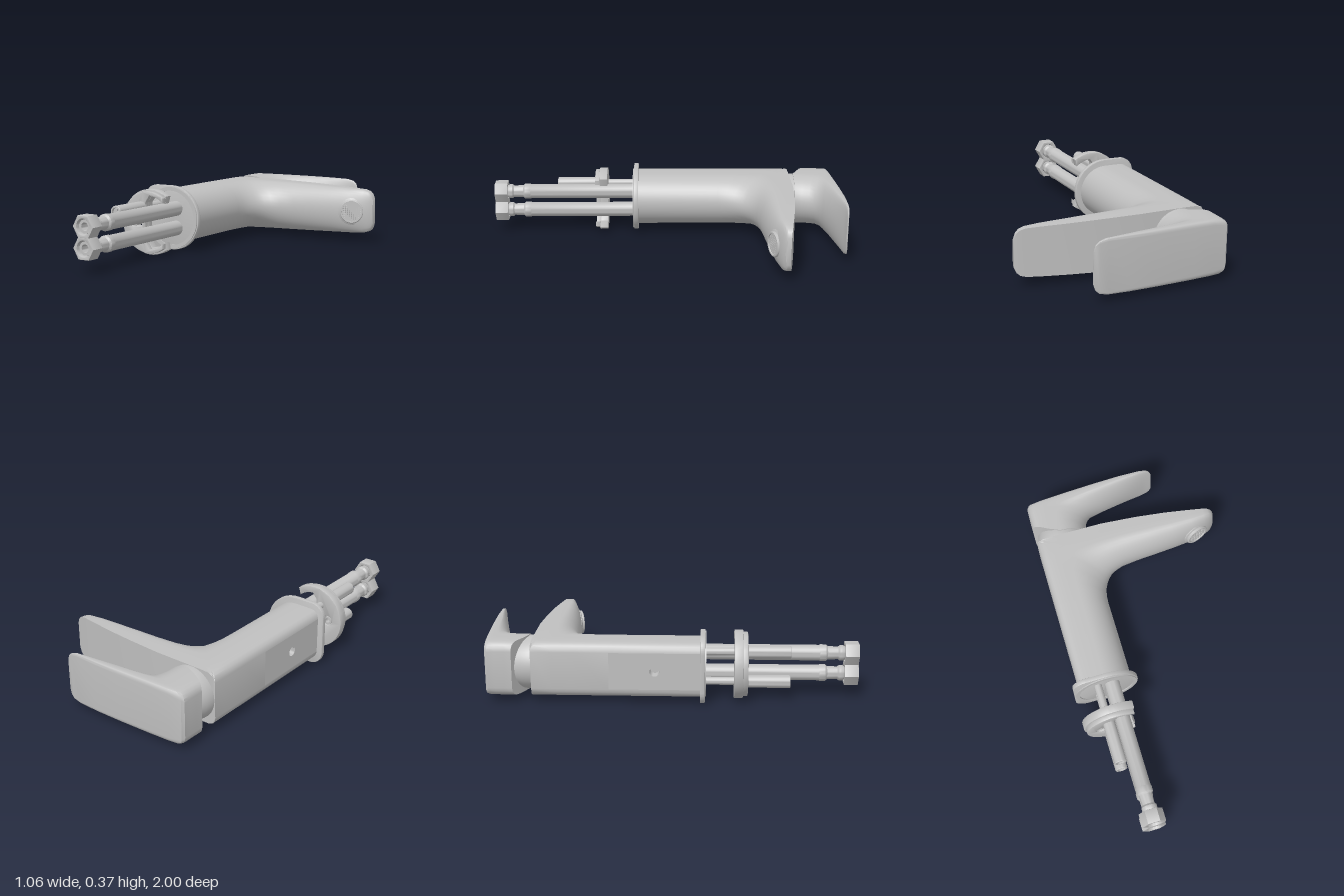
import * as THREE from 'three';
import { toCreasedNormals } from 'three/addons/utils/BufferGeometryUtils.js';

const CY = 0.186; // height of the symmetry plane
const CX = -0.35; // axis of the column

// Half-width samples from the flat outer side (u = 0) to the round inner side (u = 1)
const US = [0, 0.01, 0.04, 0.09, 0.15, 0.3, 0.5];
for (let k = 1; k <= 10; k++) US.push(0.5 + 0.5 * Math.sin((k / 10) * Math.PI / 2));
function halfWidth(u, w, c) {
  if (u < 0.15) return c + (w - c) * Math.sqrt(1 - (1 - u / 0.15) ** 2);
  if (u < 0.5) return w;
  return w * Math.sqrt(Math.max(0, 1 - ((u - 0.5) / 0.5) ** 2));
}

// Loft of D-shaped sections. Station: [outer x, outer z, inner x, inner z, half width, flat half width]
function loftD(stations, zMax = 9, openFirstBack = false) {
  const n = US.length, m = 2 * n - 1, pos = [], idx = [];
  for (const [ox, oz, ix, iz, w, c] of stations) {
    const put = (u, s) => pos.push(ox + (ix - ox) * u, CY + s * halfWidth(u, w, c), Math.min(zMax, oz + (iz - oz) * u));
    US.forEach(u => put(u, 1));
    for (let j = n - 2; j >= 0; j--) put(US[j], -1);
  }
  const quad = (a, b, c, d) => idx.push(a, b, c, a, c, d);
  const last = (stations.length - 1) * m;
  for (let i = 0; i < stations.length - 1; i++)
    for (let j = 0; j < m; j++) {
      if (openFirstBack && i === 0 && j === m - 1) continue;
      const a = i * m + j, b = i * m + (j + 1) % m;
      quad(a, b, b + m, a + m);
    }
  for (let j = 0; j < n - 1; j++) {
    const p = m - 1 - j;
    quad(j + 1, j, p, p - 1);
    quad(last + j, last + j + 1, last + p - 1, last + p);
  }
  // make the faces point outward
  const v = i => new THREE.Vector3().fromArray(pos, idx[i] * 3).sub(new THREE.Vector3(CX, CY, -0.5));
  let volume = 0;
  for (let i = 0; i < idx.length; i += 3) volume += v(i).dot(v(i + 1).cross(v(i + 2)));
  if (volume < 0) idx.reverse();
  const g = new THREE.BufferGeometry();
  g.setAttribute('position', new THREE.Float32BufferAttribute(pos, 3));
  g.setIndex(idx);
  return toCreasedNormals(g, 0.6);
}

// Turned part along +z from [radius, z] points
function turned(points, sides = 32) {
  const g = new THREE.LatheGeometry(points.map(p => new THREE.Vector2(...p)), sides);
  g.rotateX(Math.PI / 2);
  return toCreasedNormals(g, 0.6);
}

function extruded(shape, z0, z1, bevel = 0.004) {
  const g = new THREE.ExtrudeGeometry(shape, {
    depth: z1 - z0 - 2 * bevel, bevelThickness: bevel, bevelSize: bevel, bevelOffset: -bevel, bevelSegments: 2, curveSegments: 24,
  });
  g.translate(0, 0, z0 + bevel);
  return toCreasedNormals(g, 0.6);
}

export function createModel() {
  const model = new THREE.Group();
  const metal = new THREE.MeshStandardMaterial({ color: 0xc0c0c0, side: THREE.DoubleSide });
  metal.name = 'metal grey';
  const add = (name, geometry, x = 0, y = 0, z = 0, parent = model) => {
    const mesh = new THREE.Mesh(geometry, metal);
    mesh.name = name;
    mesh.position.set(x, y, z);
    parent.add(mesh);
    return mesh;
  };

  // Column flowing into the spout
  add('columnAndSpout', loftD([
    [-0.5, 0.165, -0.2, 0.165, 0.148, 0.10],
    [-0.5, -0.32, -0.2, -0.30, 0.148, 0.10],
    [-0.5, -0.50, -0.197, -0.345, 0.148, 0.10],
    [-0.5, -0.62, -0.187, -0.39, 0.148, 0.10],
    [-0.5, -0.73, -0.167, -0.43, 0.148, 0.10],
    [-0.485, -0.73, -0.15, -0.455, 0.148, 0.134],
    [-0.455, -0.73, -0.125, -0.48, 0.148, 0.147],
    [-0.40, -0.73, -0.09, -0.50, 0.148, 0.148],
    [-0.30, -0.73, -0.04, -0.518, 0.147, 0.147],
    [-0.12, -0.73, 0.05, -0.53, 0.145, 0.145],
    [0.08, -0.716, 0.15, -0.538, 0.141, 0.141],
    [0.25, -0.697, 0.28, -0.55, 0.136, 0.136],
    [0.38, -0.677, 0.39, -0.565, 0.132, 0.132],
    [0.47, -0.662, 0.465, -0.587, 0.128, 0.128],
    [0.50, -0.657, 0.495, -0.60, 0.119, 0.119],
    [0.518, -0.653, 0.514, -0.61, 0.104, 0.104],
    [0.53, -0.65, 0.527, -0.62, 0.075, 0.075],
  ], 9, true));

  // Flat back of the column with its small bore
  const back = new THREE.Shape([[-0.32, CY - 0.1], [0.165, CY - 0.1], [0.165, CY + 0.1], [-0.32, CY + 0.1]]
    .map(p => new THREE.Vector2(...p)));
  back.holes.push(new THREE.Path().absarc(-0.08, CY, 0.026, 0, Math.PI * 2, true));
  add('columnBack', new THREE.ShapeGeometry(back, 24).rotateY(-Math.PI / 2), -0.5);
  add('backBore', turned([[0, -0.06], [0.026, -0.06], [0.026, 0]]).rotateY(-Math.PI / 2), -0.5, CY, -0.08);

  // Neck under the handle
  add('neck', turned([[0, -0.82], [0.128, -0.82], [0.14, -0.78], [0.145, -0.74], [0.145, -0.72], [0, -0.72]], 48), CX, CY, 0);

  // Handle block and lever
  add('handle', loftD([
    [-0.5, -0.83, -0.2, -0.669, 0.149, 0.10],
    [-0.5, -0.87, -0.2, -0.79, 0.149, 0.10],
    [-0.5, -0.92, -0.188, -0.83, 0.149, 0.10],
    [-0.5, -0.958, -0.165, -0.862, 0.149, 0.10],
    [-0.488, -0.971, -0.13, -0.885, 0.149, 0.11],
    [-0.42, -0.978, -0.08, -0.90, 0.149, 0.122],
    [-0.30, -0.985, 0, -0.92, 0.149, 0.125],
    [-0.10, -0.995, 0.08, -0.94, 0.148, 0.126],
    [0.05, -1.0, 0.14, -0.955, 0.146, 0.128],
    [0.18, -0.998, 0.20, -0.972, 0.143, 0.13],
    [0.225, -0.996, 0.228, -0.979, 0.133, 0.123],
    [0.245, -0.993, 0.245, -0.981, 0.115, 0.108],
    [0.255, -0.99, 0.255, -0.983, 0.085, 0.08],
  ], -0.755));

  // Base flange: square corners at the back, round at the front
  const r = 0.183, k = 0.08, left = CX - r;
  const flange = new THREE.Shape();
  flange.moveTo(CX, CY - r);
  flange.absarc(CX, CY, r, -Math.PI / 2, Math.PI / 2, false);
  flange.absarc(left + k, CY + r - k, k, Math.PI / 2, Math.PI, false);
  flange.absarc(left + k, CY - r + k, k, Math.PI, Math.PI * 1.5, false);
  flange.closePath();
  add('baseFlange', extruded(flange, 0.158, 0.184));
  add('baseGasket', turned([[0.155, 0.18], [0.176, 0.18], [0.176, 0.19], [0.155, 0.19], [0.155, 0.18]], 48), CX, CY, 0);

  // Horseshoe clamp with a slot
  const clampShape = (R, inner) => {
    const s = new THREE.Shape();
    s.absarc(CX, CY, R, 0.95, Math.PI * 2 - 0.95, false);
    s.absarc(CX, CY, inner, Math.PI * 2 - 0.85, Math.PI * 2 - 1.5, true);
    s.lineTo(-0.365, CY - 0.11);
    s.lineTo(-0.372, CY);
    s.lineTo(-0.365, CY + 0.11);
    s.absarc(CX, CY, inner, 1.5, 0.85, true);
    s.closePath();
    const slot = new THREE.Path();
    slot.absarc(-0.445, CY, 0.028, Math.PI / 2, Math.PI * 1.5, false);
    slot.lineTo(-0.39, CY - 0.028);
    slot.lineTo(-0.39, CY + 0.028);
    slot.closePath();
    s.holes.push(slot);
    return s;
  };
  add('clampPad', extruded(clampShape(0.183, 0.143), 0.338, 0.385));
  add('clampPlate', extruded(clampShape(0.172, 0.15), 0.38, 0.41));
  add('slotPin', turned([[0.013, 0.34], [0.024, 0.34], [0.024, 0.4], [0.013, 0.4], [0.013, 0.34]], 20), -0.445, CY, 0);

  for (const side of [-1, 1]) {
    // Fixing screws with cross-slotted ends
    const screw = new THREE.Group();
    screw.name = 'fixingScrew';
    screw.position.set(-0.395, CY + side * 0.082, 0);
    model.add(screw);
    add('rod', turned([[0, 0.17], [0.021, 0.17], [0.021, 0.42], [0, 0.42]], 20), 0, 0, 0, screw);
    add('sleeve', turned([[0, 0.4], [0.034, 0.4], [0.034, 0.632], [0.031, 0.636], [0.024, 0.636], [0.024, 0.62], [0, 0.62]], 24), 0, 0, 0, screw);
    add('crossA', new THREE.BoxGeometry(0.034, 0.009, 0.01), 0, 0, 0.623, screw);
    add('crossB', new THREE.BoxGeometry(0.009, 0.034, 0.01), 0, 0, 0.623, screw);

    // Supply hoses with ferrules and hex nuts
    const hose = new THREE.Group();
    hose.name = 'supplyHose';
    hose.position.set(-0.316, CY + side * 0.056, 0);
    model.add(hose);
    add('tube', turned([[0, 0.17], [0.042, 0.17], [0.042, 0.79], [0.045, 0.795], [0.045, 0.825], [0.036, 0.835],
      [0.034, 0.89], [0.042, 0.9], [0.042, 0.915], [0.034, 0.93], [0, 0.93]], 28), 0, 0, 0, hose);
    const hex = new THREE.Shape();
    for (let i = 0; i < 6; i++) {
      const a = i * Math.PI / 3;
      hex[i ? 'lineTo' : 'moveTo'](0.066 * Math.cos(a), 0.066 * Math.sin(a));
    }
    hex.closePath();
    hex.holes.push(new THREE.Path().absarc(0, 0, 0.042, 0, Math.PI * 2, true));
    add('nut', extruded(hex, 0.925, 1.0, 0.003), 0, 0, 0, hose);
    add('nutSeat', turned([[0.022, 0.93], [0.036, 0.93], [0.036, 0.985], [0.022, 0.985], [0.022, 0.93]], 24), 0, 0, 0, hose);
  }

  // Aerator under the spout tip
  const aerator = new THREE.Group();
  aerator.name = 'aerator';
  aerator.position.set(0.418, CY, -0.562);
  aerator.rotation.y = 0.33;
  model.add(aerator);
  add('collar', turned([[0, -0.05], [0.08, -0.05], [0.08, -0.02], [0.07, -0.014], [0, -0.014]], 40), 0, 0, 0, aerator);
  add('ring', turned([[0, -0.03], [0.069, -0.03], [0.069, -0.004], [0.065, 0], [0.057, 0], [0.057, -0.01], [0, -0.01]], 40), 0, 0, 0, aerator);
  for (let i = -4; i <= 4; i++) {
    const t = i * 0.012, len = 2 * Math.sqrt(0.057 ** 2 - t * t);
    add('meshBar', new THREE.BoxGeometry(len, 0.004, 0.006), 0, t, -0.009, aerator);
    add('meshBar', new THREE.BoxGeometry(0.004, len, 0.006), t, 0, -0.0085, aerator);
  }
  return model;
}
